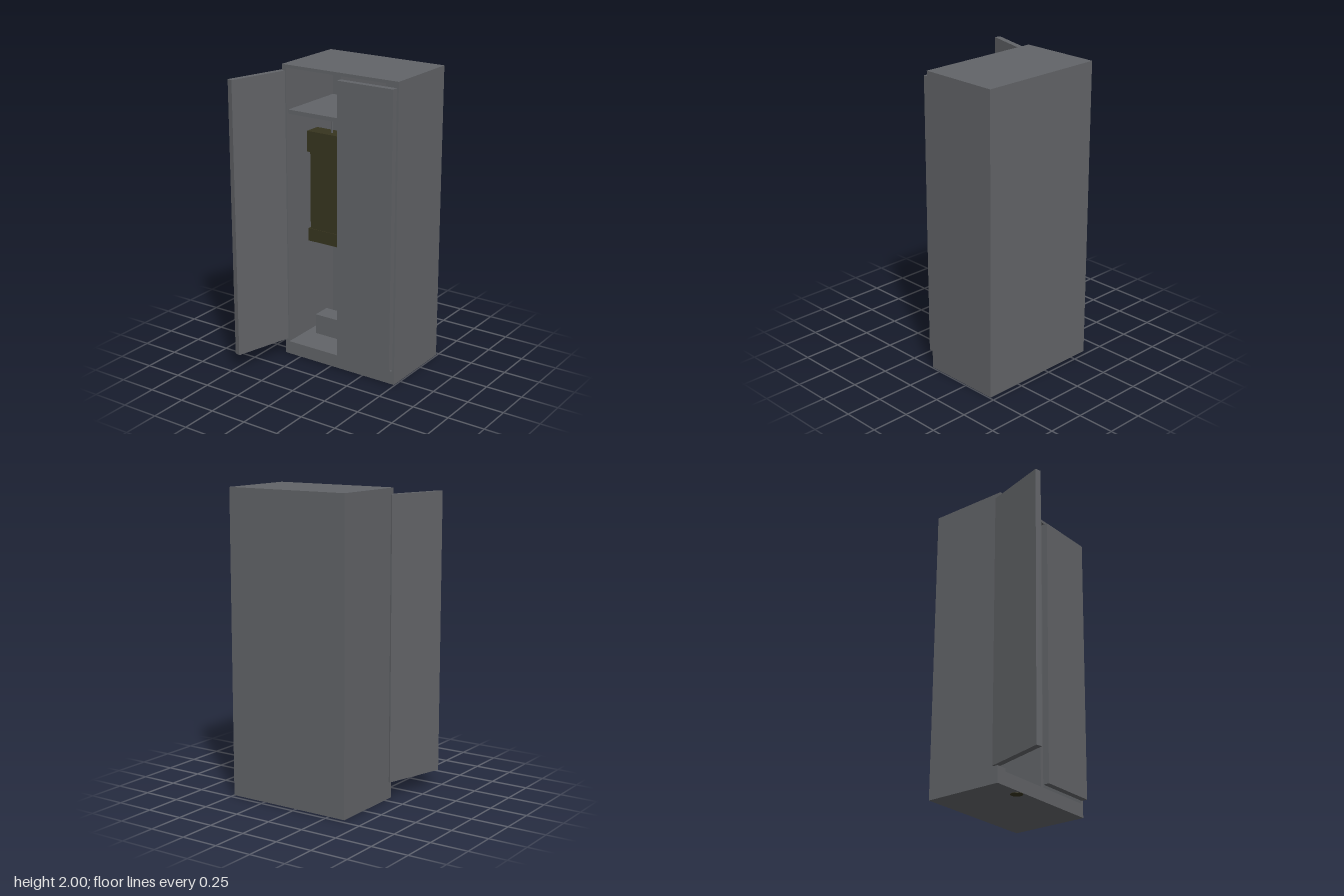
import * as THREE from 'three';

const metal = new THREE.MeshStandardMaterial({ name: 'grey metal', color: 0x626468 });
const cloth = new THREE.MeshStandardMaterial({ name: 'olive cloth', color: 0x37351f });

// Box given by its minimum and maximum corners
function box(name, material, [x0, y0, z0], [x1, y1, z1]) {
  const mesh = new THREE.Mesh(new THREE.BoxGeometry(x1 - x0, y1 - y0, z1 - z0), material);
  mesh.position.set((x0 + x1) / 2, (y0 + y1) / 2, (z0 + z1) / 2);
  mesh.name = name;
  return mesh;
}

function rod(name, radius, length) {
  const mesh = new THREE.Mesh(new THREE.CylinderGeometry(radius, radius, length, 12), metal);
  mesh.name = name;
  return mesh;
}

export function createModel() {
  const locker = new THREE.Group();
  locker.name = 'locker';

  // Cabinet shell
  const shell = new THREE.Group();
  shell.name = 'cabinet';
  shell.add(
    box('plinth', metal, [-0.37, 0, -0.47], [0.495, 0.09, 0.07]),
    box('roof', metal, [-0.37, 1.98, -0.47], [0.495, 2, 0.07]),
    box('backPanel', metal, [-0.37, 0.09, -0.47], [0.495, 1.98, -0.45]),
    box('rightWall', metal, [-0.37, 0.09, -0.45], [-0.34, 1.98, 0.07]),
    box('leftWall', metal, [0.475, 0.09, -0.45], [0.495, 1.98, 0.07]),
    box('divider', metal, [0.053, 0.09, -0.45], [0.078, 1.98, 0.068]),
    box('shelf', metal, [-0.34, 1.677, -0.45], [0.053, 1.704, 0.05])
  );
  locker.add(shell);

  // Closed door, and the open one swung on its hinge
  locker.add(box('closedDoor', metal, [0.078, 0.11, 0.07], [0.482, 1.96, 0.112]));
  const openDoor = box('openDoor', metal, [-0.02, 0.11, -0.2175], [0.02, 1.96, 0.2175]);
  openDoor.position.set(-0.419, 1.035, 0.252);
  openDoor.rotation.y = -0.27;
  locker.add(openDoor);

  // Clothes rail and hanger hook
  const rail = rod('rail', 0.01, 0.38);
  rail.rotation.z = Math.PI / 2;
  rail.position.set(-0.15, 1.615, -0.17);
  const hook = rod('hangerHook', 0.006, 0.09);
  hook.position.set(-0.153, 1.57, -0.17);
  locker.add(rail, hook);

  // Hanging garment: shoulders, body and hem
  const garment = new THREE.Group();
  garment.name = 'garment';
  garment.add(
    box('shoulders', cloth, [-0.313, 1.39, -0.23], [0.005, 1.53, -0.115]),
    box('body', cloth, [-0.292, 0.82, -0.22], [-0.015, 1.39, -0.12]),
    box('hem', cloth, [-0.307, 0.77, -0.23], [0.005, 0.858, -0.115])
  );
  locker.add(garment);

  // Box on the locker floor
  locker.add(box('storageBox', metal, [-0.27, 0.09, -0.27], [-0.037, 0.23, -0.14]));

  // Small round patch under the plinth
  const patch = new THREE.Mesh(new THREE.CylinderGeometry(0.04, 0.04, 0.004, 16), cloth);
  patch.name = 'undersidePatch';
  patch.position.set(-0.135, 0, 0.028);
  locker.add(patch);

  return locker;
}
